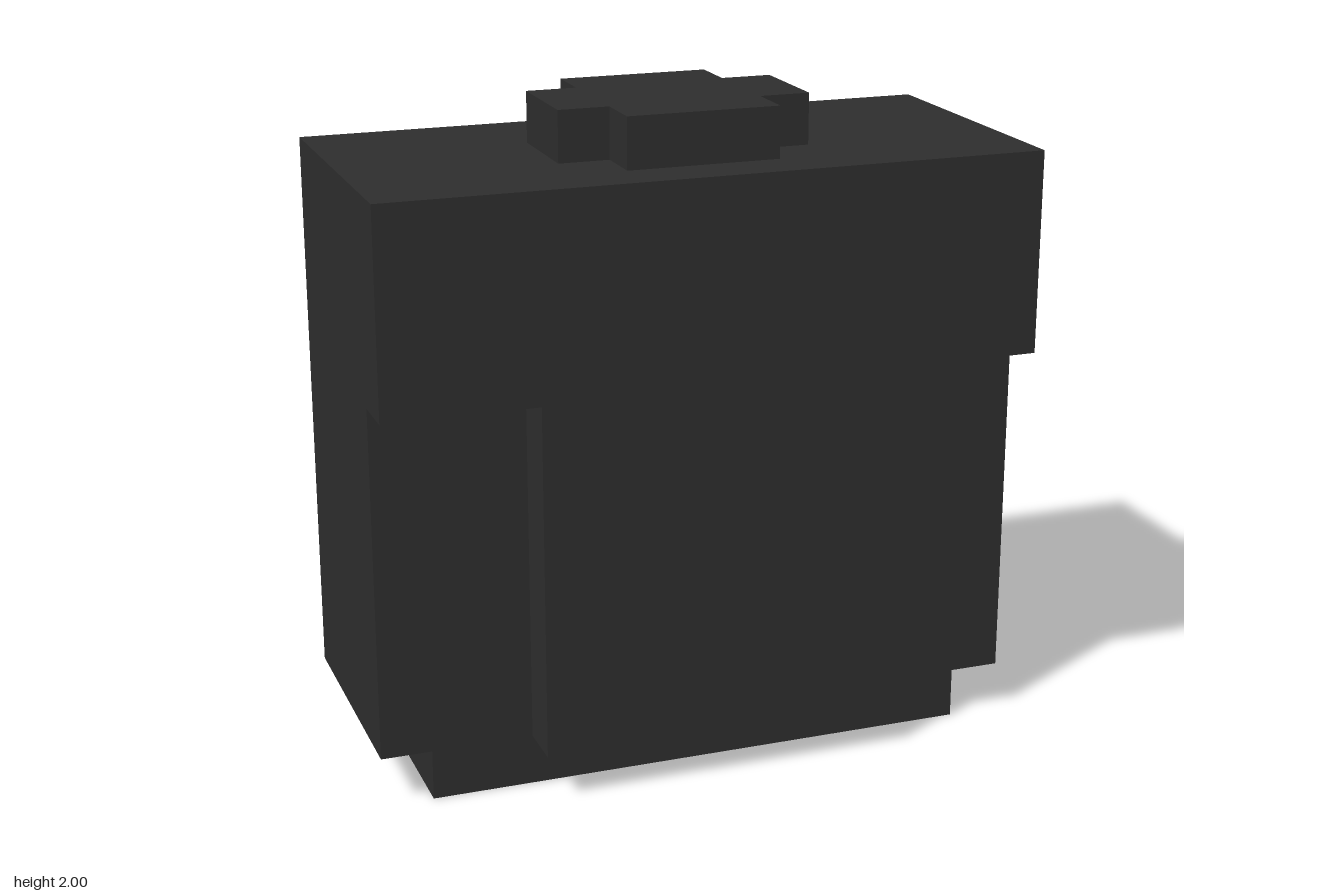
import * as THREE from 'three';

// The model sits on a block grid: 13 wide, 13 high, 6 deep
const U = 2 / 13;

const darkGrey = new THREE.MeshStandardMaterial({ color: 0x2d2d2d });
darkGrey.name = 'darkGrey';

// Upright prism from a plan outline of [x, z] grid points, between heights y0 and y1
function prism(name, outline, y0, y1) {
  const shape = new THREE.Shape(outline.map(([x, z]) => new THREE.Vector2(x * U, -z * U)));
  const geometry = new THREE.ExtrudeGeometry(shape, { depth: (y1 - y0) * U, bevelEnabled: false });
  geometry.rotateX(-Math.PI / 2).translate(0, y0 * U, 0);
  const mesh = new THREE.Mesh(geometry, darkGrey);
  mesh.name = name;
  return mesh;
}

// Complete a right-half outline by mirroring it across x = 0
const mirrored = (half) => [...half, ...half.slice().reverse().map(([x, z]) => [-x, z])];

export function createModel() {
  const model = new THREE.Group();
  model.name = 'blockBody';
  model.add(
    // Base, flush with the back and set in at the front and sides
    prism('base', mirrored([[5.5, 2], [5.5, -3]]), 0, 1),
    // Main body with a raised centre front between two recessed sides
    prism('body', mirrored([[3.5, 3], [3.5, 2], [6.5, 2], [6.5, -3]]), 1, 8),
    // Full-depth upper block
    prism('upperBlock', mirrored([[6.5, 3], [6.5, -3]]), 8, 12),
    // Cross-shaped cap
    prism('cap', mirrored([[1.5, 2], [1.5, 1], [2.5, 1], [2.5, -1], [1.5, -1], [1.5, -2]]), 12, 13)
  );
  return model;
}
